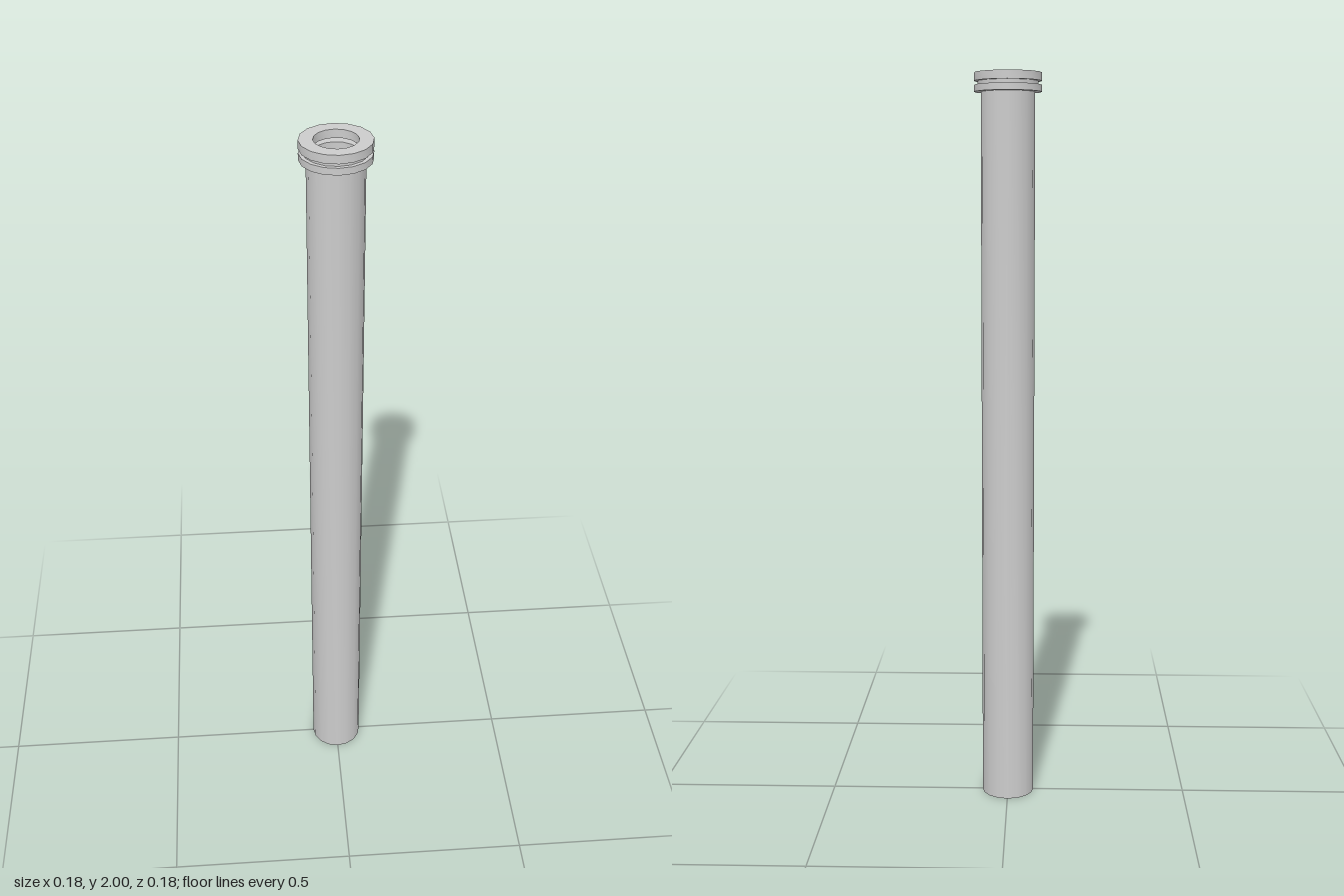
import * as THREE from 'three';
import { toCreasedNormals } from 'three/addons/utils/BufferGeometryUtils.js';

const SIDES = 16;

// Revolves a [radius, height] profile, smooth around and sharp at the rims
function turned(name, profile, side = THREE.FrontSide) {
  const points = profile.map(([r, y]) => new THREE.Vector2(r, y));
  const geometry = toCreasedNormals(new THREE.LatheGeometry(points, SIDES), Math.PI / 6);
  const mesh = new THREE.Mesh(geometry, new THREE.MeshStandardMaterial({ color: 0xcccccc, side }));
  mesh.name = name;
  return mesh;
}

// Flat washer with a rectangular section
function washer(name, inner, outer, y0, y1) {
  return turned(name, [[inner, y0], [outer, y0], [outer, y1], [inner, y1], [inner, y0]]);
}

export function createModel() {
  const group = new THREE.Group();
  group.name = 'pipe';

  // Long open pipe wall
  group.add(turned('pipeWall', [[0.072, 0], [0.072, 1.96]], THREE.DoubleSide));

  // Collar: two flanges with a groove between them
  group.add(washer('lowerFlange', 0.055, 0.09, 1.95, 1.968));
  group.add(turned('collarGroove', [[0.08, 1.968], [0.08, 1.978]], THREE.DoubleSide));
  group.add(washer('upperFlange', 0.055, 0.09, 1.978, 2));

  return group;
}
